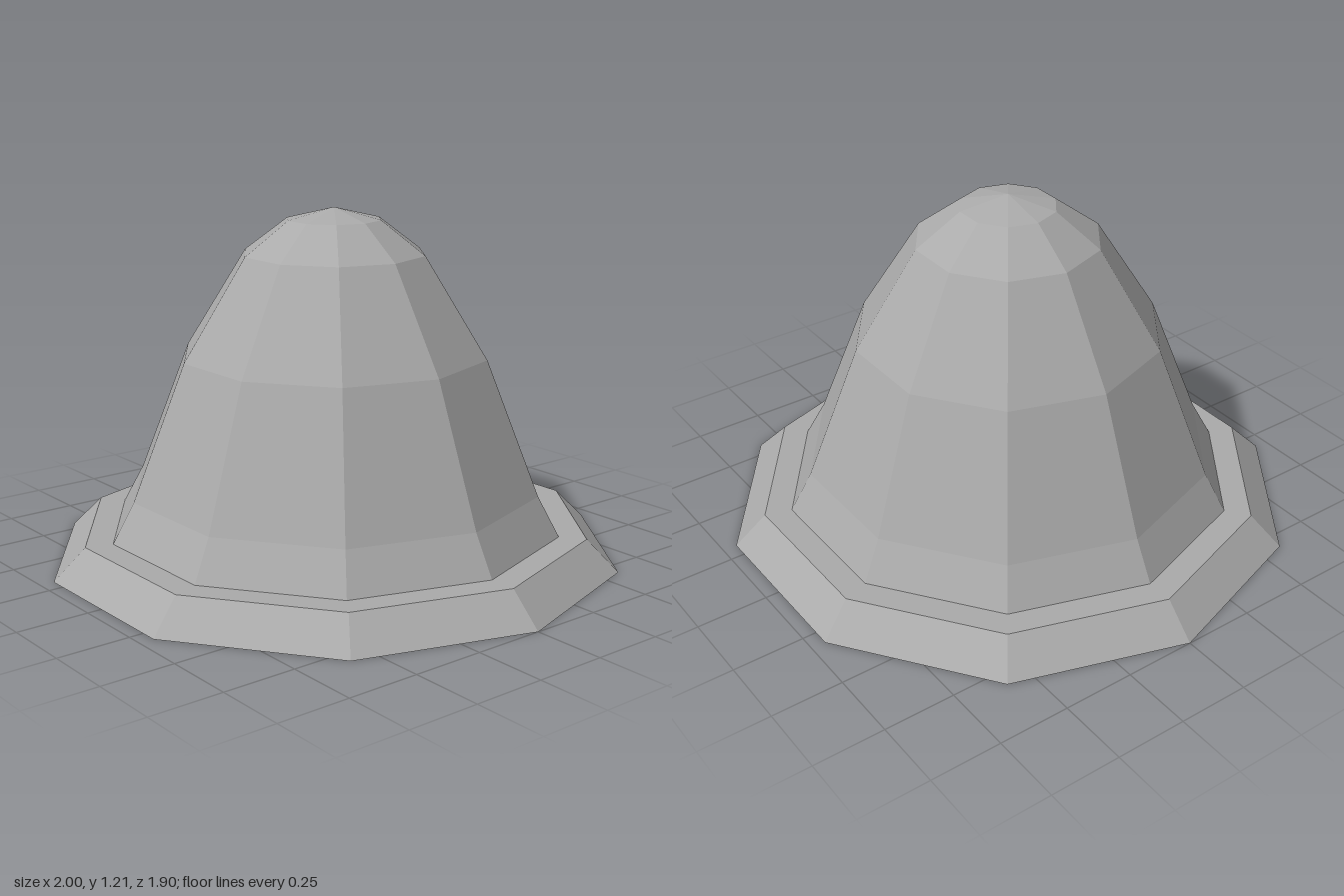
import * as THREE from 'three';

const SIDES = 10;

// Faceted ten-sided solid of revolution with a corner on the x axis
function facetedLathe(name, profile, material) {
  const points = profile.map(([r, y]) => new THREE.Vector2(r, y));
  const geometry = new THREE.LatheGeometry(points, SIDES, Math.PI / 2).toNonIndexed();
  geometry.computeVertexNormals();
  const mesh = new THREE.Mesh(geometry, material);
  mesh.name = name;
  return mesh;
}

export function createModel() {
  const group = new THREE.Group();
  group.name = 'bellDome';
  const grey = new THREE.MeshStandardMaterial({ color: 0xaaaaaa });
  grey.name = 'grey';

  // Shallow hollow underneath, rising towards the middle
  group.add(facetedLathe('underside', [[0, 0.09], [0.56, 0.065], [1, 0]], grey));

  // Bevelled flange with a flat ledge on top
  group.add(facetedLathe('flange', [[1, 0], [0.89, 0.108], [0.795, 0.108]], grey));

  // Bell-shaped body rising to a shallow point
  group.add(facetedLathe('dome', [
    [0.795, 0.108], [0.72, 0.245], [0.535, 0.71], [0.318, 1.055], [0.165, 1.17], [0, 1.21],
  ], grey));

  return group;
}
